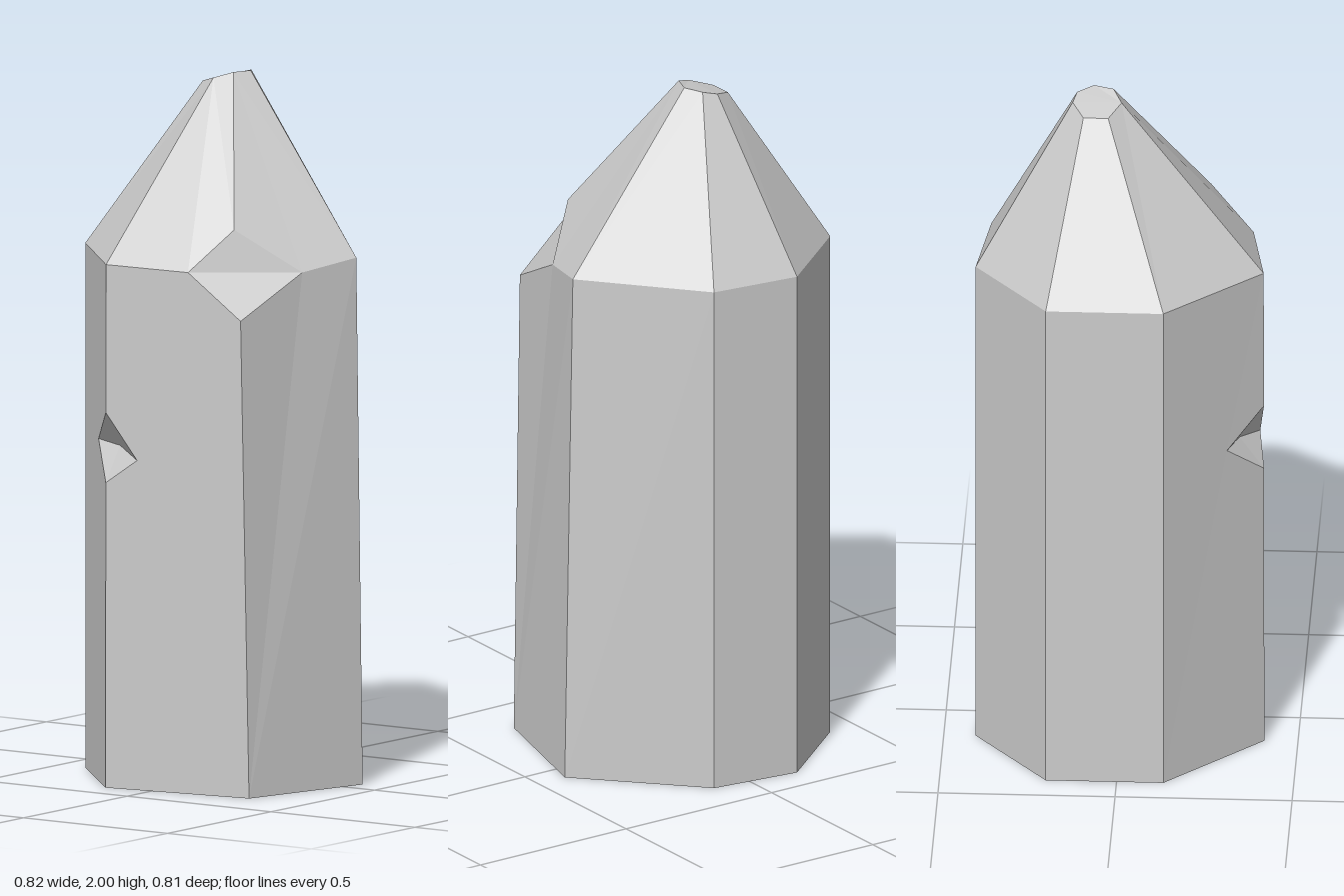
import * as THREE from 'three';

const material = new THREE.MeshStandardMaterial({ color: 0xcccccc, flatShading: true, side: THREE.DoubleSide });

// Builds one faceted mesh from polygons; each is fanned out from its first corner
function facets(name, polygons) {
  const positions = [];
  for (const p of polygons) {
    for (let i = 1; i < p.length - 1; i++) positions.push(...p[0], ...p[i], ...p[i + 1]);
  }
  const geometry = new THREE.BufferGeometry();
  geometry.setAttribute('position', new THREE.Float32BufferAttribute(positions, 3));
  geometry.computeVertexNormals();
  const mesh = new THREE.Mesh(geometry, material);
  mesh.name = name;
  return mesh;
}

export function createModel() {
  const group = new THREE.Group();
  group.name = 'crystal';

  // Seven-sided rings, counter-clockwise from the front corner
  const base = [[-0.143, 0, 0.405], [0.305, 0, 0.335], [0.41, 0, -0.068], [0.113, 0, -0.378],
    [-0.15, 0, -0.41], [-0.41, 0, -0.2], [-0.41, 0, 0.132]];
  const shoulder = base.map(([x, , z]) => [x, 1.497, z]);
  shoulder[0] = [-0.143, 1.492, 0.403];
  shoulder[2] = [0.385, 1.5, -0.072];
  const tip = [[-0.061, 1.983, -0.002], [-0.01, 2, -0.027], [0.01, 2, -0.083], [-0.021, 1.994, -0.129],
    [-0.064, 1.983, -0.14], [-0.123, 1.965, -0.107], [-0.123, 1.965, -0.037]];

  // Corners of the broken shoulder
  const cutTop = [0.185, 1.6, 0.24], cutFront = [0.113, 1.487, 0.363];
  const cutSide = [0.328, 1.475, 0.11], cutLow = [0.28, 1.36, 0.341];

  // Corners of the small dent on the front edge
  const dentTop = [-0.143, 1.07, 0.404], dentLow = [-0.143, 0.87, 0.404];
  const dentLeft = [-0.045, 0.94, 0.389], dentRight = [-0.24, 0.975, 0.304];
  const dentDeep = [-0.143, 0.968, 0.335];

  // Plain walls and slopes around the back, special ones beside the broken parts
  const walls = [
    [dentLeft, dentLow, base[0], base[1], cutLow, cutFront, shoulder[0], dentTop],
    [base[1], base[2], shoulder[2], cutSide, cutLow],
    [dentRight, dentTop, shoulder[0], shoulder[6], base[6], base[0], dentLow],
  ];
  const slopes = [
    [tip[0], shoulder[0], cutFront, cutTop, tip[1]],
    [tip[1], cutTop, cutSide, shoulder[2], tip[2]],
  ];
  for (let i = 2; i < 7; i++) {
    const j = (i + 1) % 7;
    if (i < 6) walls.push([base[i], base[j], shoulder[j], shoulder[i]]);
    slopes.push([shoulder[i], shoulder[j], tip[j], tip[i]]);
  }

  group.add(
    facets('shaft', walls),
    facets('point', slopes),
    facets('tip', [tip]),
    facets('brokenCorner', [[cutTop, cutFront, cutSide], [cutFront, cutLow, cutSide]]),
    facets('dent', [
      [dentDeep, dentTop, dentRight], [dentDeep, dentLeft, dentTop],
      [dentDeep, dentRight, dentLow], [dentDeep, dentLow, dentLeft],
    ]),
  );
  return group;
}
